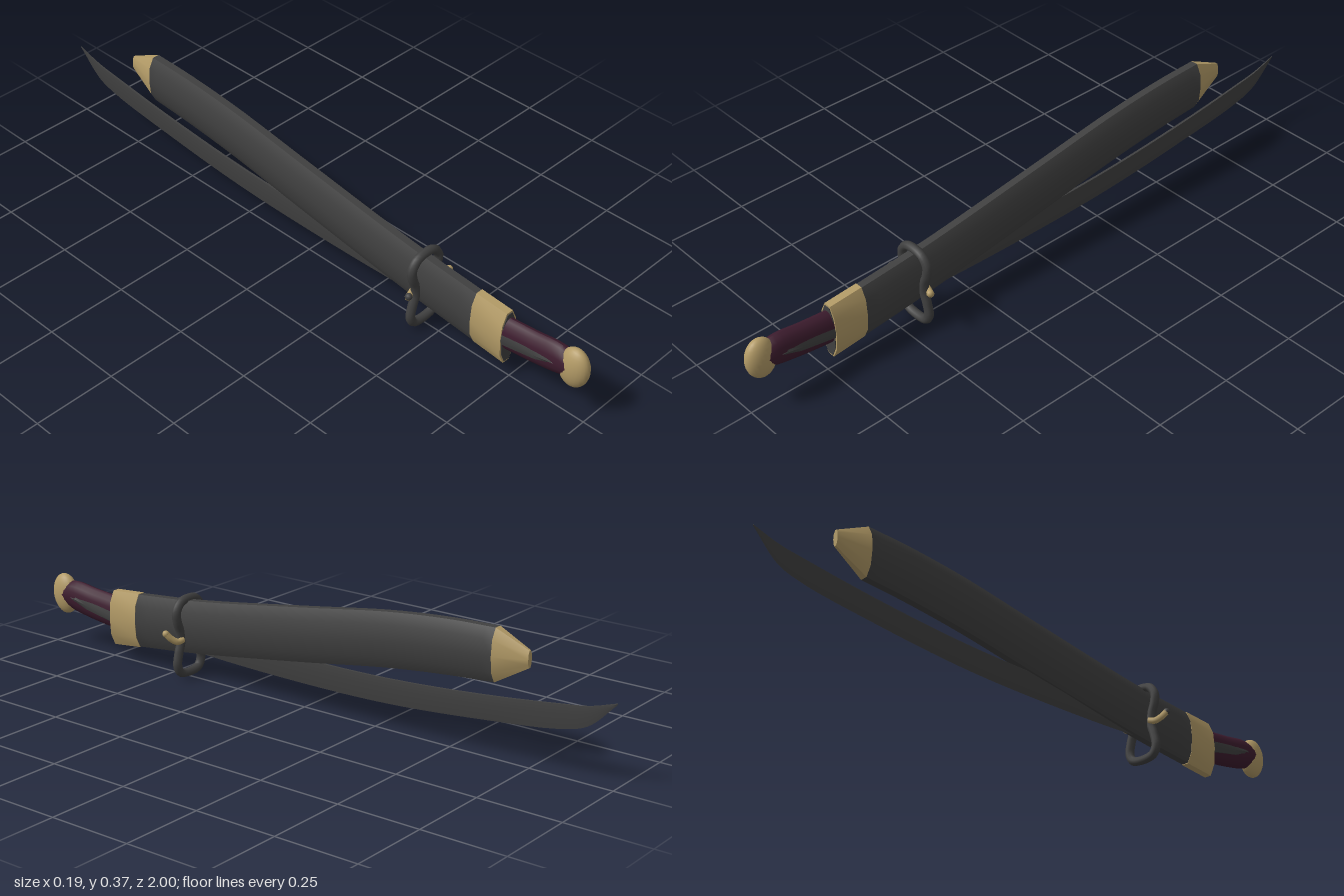
import * as THREE from 'three';
import { toCreasedNormals } from 'three/addons/utils/BufferGeometryUtils.js';

const mat = (name, color) => {
  const m = new THREE.MeshStandardMaterial({ color });
  m.name = name;
  return m;
};

// Cross-sections, counter-clockwise, in units of half width and half height
const SHEATH = [[1, 0], [0.87, 0.6], [0.36, 1], [-0.36, 1], [-0.87, 0.6],
  [-1, 0], [-0.87, -0.6], [-0.36, -1], [0.36, -1], [0.87, -0.6]];
const BLADE = [[1, 0.3], [0.6, 1], [-0.6, 1], [-1, 0.3], [0, -1]];
const OVAL = Array.from({ length: 16 }, (_, i) => {
  const a = i / 16 * Math.PI * 2;
  return [Math.cos(a), Math.sin(a)];
});

// Smooth run of stations [z, low y, high y, half width], front to back
function smooth(stations, n) {
  const at = (i) => new THREE.CatmullRomCurve3(stations.map((s) => new THREE.Vector3(s[0], s[i], s[3])));
  const low = at(1), high = at(2);
  return Array.from({ length: n + 1 }, (_, i) => {
    const p = low.getPoint(i / n), q = high.getPoint(i / n);
    return [(p.x + q.x) / 2, p.y, q.y, p.z];
  });
}

// Capped skin over a profile scaled to each station
function loft(profile, stations, crease = 0.6) {
  const n = profile.length, pos = [], idx = [];
  for (const [z, lo, hi, w] of stations)
    for (const [x, y] of profile) pos.push(x * w, (lo + hi) / 2 + y * (hi - lo) / 2, z);
  for (let i = 0; i < stations.length - 1; i++) for (let j = 0; j < n; j++) {
    const a = i * n + j, b = i * n + (j + 1) % n, c = a + n, d = b + n;
    idx.push(a, c, b, b, c, d);
  }
  const last = (stations.length - 1) * n;
  for (let j = 1; j < n - 1; j++) idx.push(0, j, j + 1, last, last + j + 1, last + j);
  const g = new THREE.BufferGeometry();
  g.setAttribute('position', new THREE.Float32BufferAttribute(pos, 3));
  g.setIndex(idx);
  return toCreasedNormals(g, crease);
}

export function createModel() {
  const dark = mat('dark grey', 0x404040);
  const gold = mat('dull gold', 0xb39b67);
  const maroon = mat('dark maroon', 0x3d1c2e);
  const model = new THREE.Group();
  model.name = 'swordAndScabbard';
  const add = (name, geo, material, parent = model) => {
    const m = new THREE.Mesh(geo, material);
    m.name = name;
    parent.add(m);
    return m;
  };

  // Scabbard with its gold throat and end cap
  add('scabbard', loft(SHEATH, smooth([
    [0.63, 0.06, 0.225, 0.031], [0.4, 0.085, 0.247, 0.031], [0, 0.143, 0.305, 0.031],
    [-0.3, 0.19, 0.35, 0.031], [-0.5, 0.212, 0.368, 0.031], [-0.64, 0.222, 0.373, 0.031],
  ], 24)), dark);
  add('scabbardThroat', loft(SHEATH, [[0.735, 0.047, 0.219, 0.032], [0.63, 0.058, 0.227, 0.032]]), gold);
  add('scabbardMouth', loft(SHEATH, [[0.737, 0.053, 0.213, 0.027], [0.72, 0.055, 0.214, 0.027]]), dark);
  add('scabbardTip', loft(SHEATH, [[-0.64, 0.222, 0.373, 0.031], [-0.74, 0.28, 0.328, 0.009]]), gold);

  // Curved blade with its edge below
  add('blade', loft(BLADE, smooth([
    [0.74, 0.115, 0.175, 0.006], [0.4, 0.085, 0.16, 0.006], [0, 0.075, 0.15, 0.006],
    [-0.3, 0.081, 0.155, 0.006], [-0.6, 0.106, 0.177, 0.006], [-0.84, 0.136, 0.205, 0.005],
    [-0.92, 0.162, 0.217, 0.004], [-1, 0.238, 0.242, 0.001],
  ], 40), 0.4), dark);

  // Grip, side panels and pommel
  add('grip', loft(OVAL, smooth([
    [0.72, 0.093, 0.198, 0.028], [0.82, 0.105, 0.207, 0.028],
    [0.91, 0.122, 0.216, 0.029], [0.955, 0.14, 0.2, 0.028],
  ].reverse(), 12)), maroon);
  add('gripPanels', loft(SHEATH, [
    [0.905, 0.163, 0.173, 0.03], [0.885, 0.147, 0.184, 0.0305],
    [0.84, 0.132, 0.18, 0.0305], [0.72, 0.108, 0.168, 0.0305],
  ]), dark);
  const pommel = add('pommel', new THREE.SphereGeometry(1, 24, 16), gold);
  pommel.scale.set(0.029, 0.064, 0.047);
  pommel.position.set(0, 0.168, 0.953);
  pommel.rotation.x = 0.1;

  // Cord pinched around the scabbard into an upper and a lower loop
  const cord = new THREE.Group();
  cord.name = 'cord';
  model.add(cord);
  const half = [[0.033, 0.241], [0.052, 0.215], [0.05, 0.187], [0.038, 0.152],
    [0.035, 0.122], [0.046, 0.085], [0.052, 0.05], [0.04, 0.026]];
  const V = (x, y, z = 0.44) => new THREE.Vector3(x, y, z);
  const loop = [V(0, 0.248), ...half.map(([x, y]) => V(x, y)), V(0, 0.018),
    ...half.map(([x, y]) => V(-x, y)).reverse()];
  add('cordLoops', new THREE.TubeGeometry(new THREE.CatmullRomCurve3(loop, true), 80, 0.0135, 8, true), dark, cord);

  // Cord ends sticking out at each side
  for (const s of [1, -1]) {
    const end = [V(s * 0.036, 0.13, 0.43), V(s * 0.055, 0.126, 0.435), V(s * 0.072, 0.138, 0.447), V(s * 0.082, 0.153, 0.457)];
    add('cordEnd', new THREE.TubeGeometry(new THREE.CatmullRomCurve3(end), 12, 0.01, 8), gold, cord);
    add('cordEndTip', new THREE.SphereGeometry(0.0105, 10, 8), s > 0 ? gold : dark, cord).position.copy(end[3]);
  }
  return model;
}
